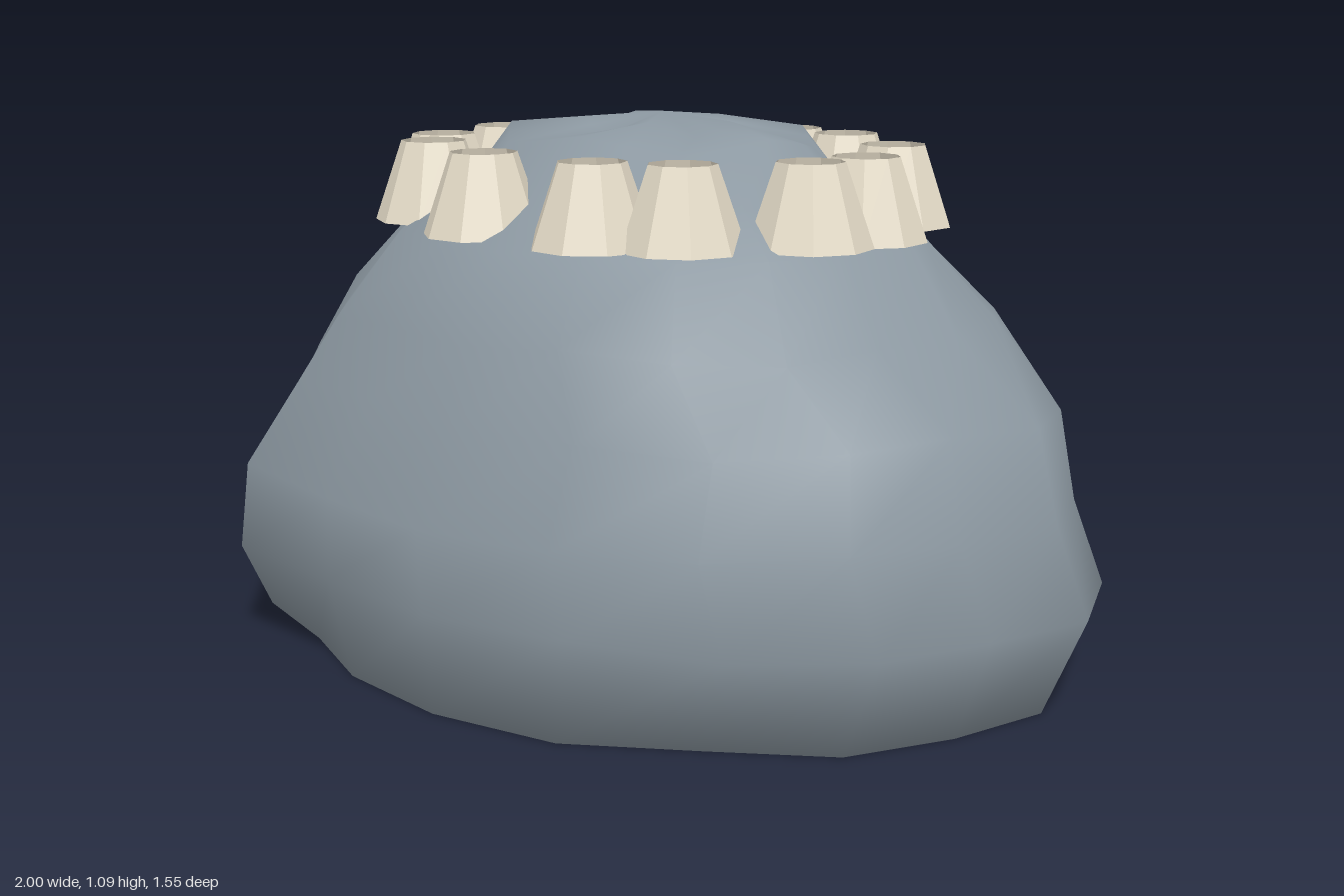
import * as THREE from 'three';

const SEG = 20;
const CENTRE_Z = 0.03;

// Rock cross-sections: height, reach toward left (+x), right (-x), front (+z), back (-z),
// then the fullness of the corners: left front, right front, right back, left back
const EVEN = [1, 1, 1, 1];
const RINGS = [
  [0, 0.45, 0.45, 0.37, 0.33, EVEN],
  [0, 0.91, 0.91, 0.74, 0.64, EVEN],
  [0.2, 1.0, 1.0, 0.76, 0.775, EVEN],
  [0.37, 0.93, 0.95, 0.775, 0.71, [1, 0.99, 1.01, 1.01]],
  [0.55, 0.885, 0.865, 0.68, 0.61, [0.99, 0.97, 1.04, 1.05]],
  [0.7, 0.71, 0.765, 0.66, 0.57, [0.98, 0.93, 1.05, 1.1]],
  [0.86, 0.605, 0.605, 0.545, 0.41, [0.96, 0.93, 0.98, 1.02]],
  [0.935, 0.46, 0.46, 0.41, 0.32, [0.97, 0.95, 0.97, 0.99]],
  [1.045, 0.35, 0.35, 0.3, 0.235, EVEN],
  [1.066, 0.17, 0.17, 0.15, 0.11, EVEN],
];
const CROWN = 8;

// Uneven outlines, one factor for each segment, from +x through the front
const BODY = [
  1, 0.97, 1.015, 1.035, 0.985, 1, 0.985, 1.06, 0.99, 1.02,
  1, 0.96, 1, 0.94, 0.965, 1, 0.95, 0.98, 0.925, 0.955,
];
const BASE = [
  1, 0.98, 1, 0.96, 1.01, 1, 0.97, 0.93, 1.03, 0.99,
  1, 0.97, 1, 1, 1.05, 1, 0.98, 0.93, 0.92, 0.96,
];

function buildRock(material) {
  const pos = [0, 0, CENTRE_Z];
  const index = [];
  RINGS.forEach(([y, left, right, front, back, fullness], r) => {
    const outline = y === 0 ? BASE : BODY;
    for (let i = 0; i < SEG; i++) {
      const t = (i / SEG) * Math.PI * 2;
      const c = Math.cos(t), s = Math.sin(t);
      const rx = c > 0 ? left : right;
      const rz = s > 0 ? front - CENTRE_Z : back + CENTRE_Z;
      const diagonal = Math.abs(Math.sin(2 * t));
      const corner = fullness[Math.floor((i * 4) / SEG)];
      const lump = outline[i] * (1 + diagonal * (corner - 1));
      let h = y;
      if (r > 2 && r < 6) h += 0.015 * diagonal * Math.sin(4 * t + r * 1.7);
      // twisted folds around the crown
      if (r >= CROWN) h += 0.014 * Math.sin(5 * t + (r - CROWN) * 1.5);
      pos.push(c * rx * lump, h, CENTRE_Z + s * rz * lump);
    }
  });
  const top = pos.length / 3;
  pos.push(0, 1.092, CENTRE_Z);

  const at = (r, i) => 1 + r * SEG + (i % SEG);
  const last = RINGS.length - 1;
  for (let i = 0; i < SEG; i++) {
    index.push(0, at(0, i), at(0, i + 1));
    for (let r = 0; r < last; r++) {
      const a = at(r, i), b = at(r, i + 1), c = at(r + 1, i), d = at(r + 1, i + 1);
      index.push(a, c, b, b, c, d);
    }
    index.push(top, at(last, i + 1), at(last, i));
  }
  const geo = new THREE.BufferGeometry();
  geo.setAttribute('position', new THREE.Float32BufferAttribute(pos, 3));
  geo.setIndex(index);
  geo.computeVertexNormals();
  const mesh = new THREE.Mesh(geo, material);
  mesh.name = 'rock';
  return mesh;
}

// Barnacle centres (x, z) around the crown
const BARNACLES = [
  [-0.235, -0.335], [0.04, -0.37], [0.205, -0.34], [0.415, -0.195], [0.495, 0.03],
  [0.465, 0.175], [0.3, 0.355], [0.14, 0.425], [-0.14, 0.42], [-0.38, 0.31],
  [-0.47, 0.185], [-0.495, -0.035], [-0.435, -0.19],
];

export function createModel() {
  const stone = new THREE.MeshStandardMaterial({ color: 0x8c98a1 });
  stone.name = 'stone grey';
  const shell = new THREE.MeshStandardMaterial({
    color: 0xe6ddc9, flatShading: true, side: THREE.DoubleSide,
  });
  shell.name = 'shell cream';

  const model = new THREE.Group();
  model.name = 'barnacleRock';
  model.add(buildRock(stone));

  // open, tapered shells
  const cone = new THREE.CylinderGeometry(0.067, 0.123, 0.163, 9, 1, true);
  const barnacles = new THREE.Group();
  barnacles.name = 'barnacles';
  BARNACLES.forEach(([x, z], i) => {
    const mesh = new THREE.Mesh(cone, shell);
    mesh.name = `barnacle${i + 1}`;
    mesh.position.set(x, 0.95, z);
    mesh.rotation.y = i * 0.83;
    barnacles.add(mesh);
  });
  model.add(barnacles);
  return model;
}
